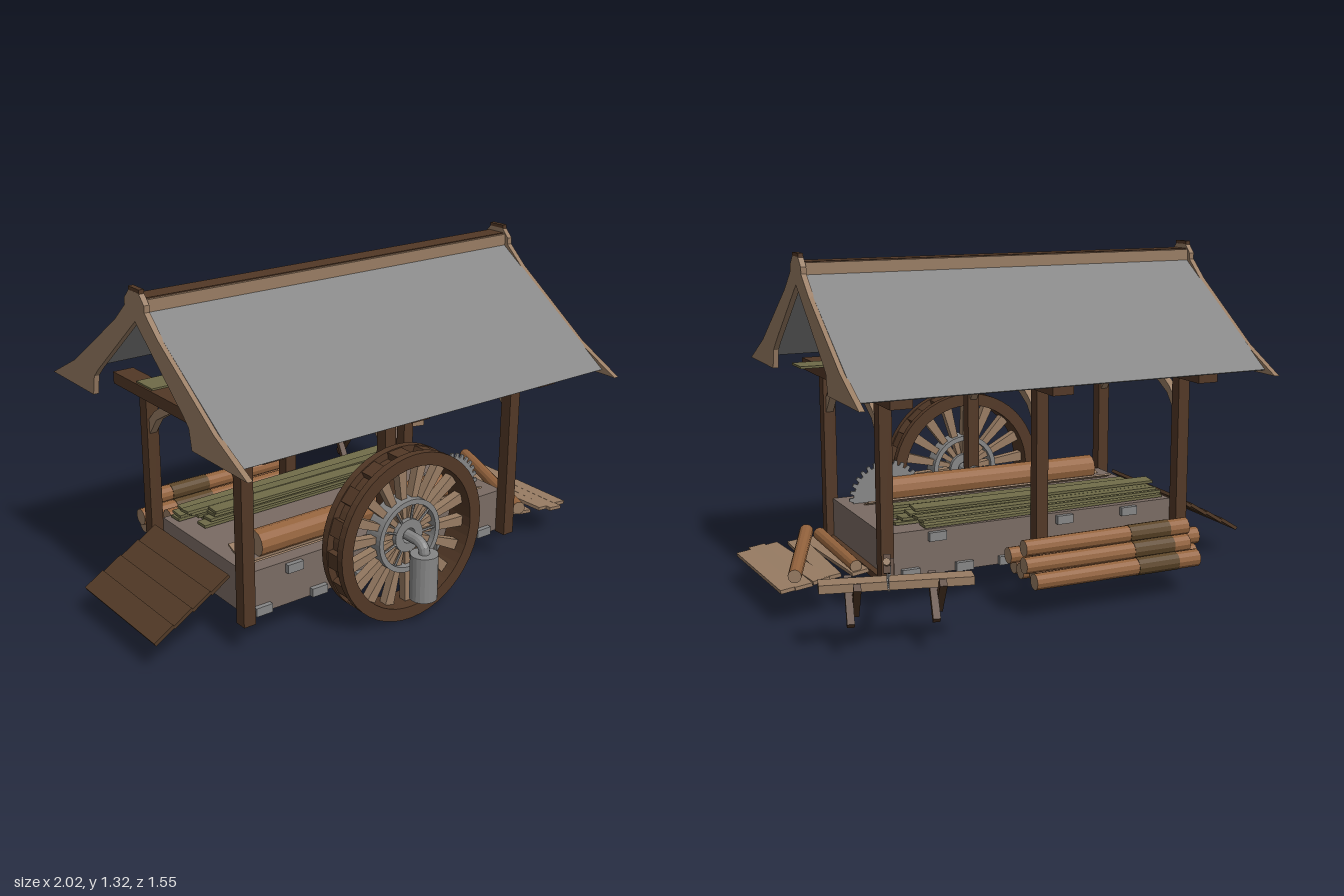
import * as THREE from 'three';

const DARK = 0x523826, TAN = 0x987c63, DECK = 0x7a6b63, LOG = 0x94633d, OLIVE = 0x6f6b48, RAMP = 0x523a27, BAND = 0x5c4528, STEEL = 0x868686;
const V = (x, y, z) => new THREE.Vector3(x, y, z);
const mats = {};
const mat = (c) => (mats[c] ??= new THREE.MeshStandardMaterial({ color: c, flatShading: true, side: THREE.DoubleSide }));

export function createModel() {
  const root = new THREE.Group();
  const add = (name, geo, color, parent = root) => {
    const m = new THREE.Mesh(geo, mat(color));
    m.name = name;
    parent.add(m);
    return m;
  };
  const group = (name, parent = root) => {
    const g = new THREE.Group();
    g.name = name;
    parent.add(g);
    return g;
  };
  // box given by its min and max corners
  const box = (name, color, x0, x1, y0, y1, z0, z1, parent) => {
    const m = add(name, new THREE.BoxGeometry(x1 - x0, y1 - y0, z1 - z0), color, parent);
    m.position.set((x0 + x1) / 2, (y0 + y1) / 2, (z0 + z1) / 2);
    return m;
  };
  // round bar between two points
  const rod = (name, color, a, b, r, parent, r2 = r, sides = 12) => {
    const m = add(name, new THREE.CylinderGeometry(r2, r, a.distanceTo(b), sides), color, parent);
    m.position.copy(a).lerp(b, 0.5);
    m.quaternion.setFromUnitVectors(V(0, 1, 0), b.clone().sub(a).normalize());
    return m;
  };
  // log with pale cut ends
  const log = (name, a, b, r, parent, r2) => {
    rod(name, LOG, a, b, r, parent, r2).material = [mat(LOG), mat(TAN), mat(TAN)];
  };
  // extrude a (z, y) outline along x, centred on x
  const slabX = (name, color, pts, x, depth, parent) => {
    const shape = new THREE.Shape(pts.map(([z, y]) => new THREE.Vector2(-z, y)));
    const geo = new THREE.ExtrudeGeometry(shape, { depth, bevelEnabled: false });
    geo.translate(0, 0, -depth / 2).rotateY(Math.PI / 2);
    add(name, geo, color, parent).position.x = x;
  };
  const ZC = 0.095; // centre line of the building
  const mirrorZ = (pts) => pts.map(([z, y]) => [2 * ZC - z, y]);

  // hollow platform
  const base = group('platform');
  box('deck', DECK, -0.64, 0.6, 0.28, 0.295, -0.2, 0.39, base);
  for (const z of [-0.2, 0.378]) box('sideWall', DECK, -0.64, 0.6, 0.12, 0.28, z, z + 0.012, base);
  for (const x of [-0.64, 0.588]) box('endWall', DECK, x, x + 0.012, 0.12, 0.28, -0.188, 0.378, base);
  for (const z of [-0.205, 0.395])
    for (const [x, y] of [[-0.44, 0.268], [-0.33, 0.137], [-0.58, 0.137], [-0.12, 0.137], [0.1, 0.137], [0.28, 0.137], [0.39, 0.268], [0.5, 0.137], [-0.15, 0.268]])
      box('wallBracket', STEEL, x - 0.035, x + 0.035, y - 0.017, y + 0.017, z - 0.014, z + 0.014, base);
  box('sill', DARK, 0.6, 0.625, 0.115, 0.14, -0.2, 0.39, base);

  // three timber frames
  for (const x of [-0.665, -0.03, 0.605]) {
    const f = group('frame');
    for (const z of [0.415, -0.225]) box('post', DARK, x - 0.025, x + 0.025, 0.115, 0.81, z - 0.025, z + 0.025, f);
    box('crossBeam', DARK, x - 0.043, x + 0.043, 0.803, 0.85, -0.415, 0.605, f);
    box('kingPost', DARK, x - 0.017, x + 0.017, 0.85, 1.18, ZC - 0.017, ZC + 0.017, f);
    const brace = [[0.39, 0.655], [0.39, 0.715], [0.35, 0.755], [0.275, 0.803], [0.19, 0.803], [0.27, 0.762], [0.335, 0.725]];
    slabX('brace', TAN, brace, x, 0.03, f);
    slabX('brace', TAN, mirrorZ(brace), x, 0.03, f);
  }
  for (const z of [0.383, -0.19]) box('wallPlate', OLIVE, -0.7, 0.74, 0.848, 0.857, z - 0.058, z + 0.058);

  // flat roof sheets, gables and ridge
  const roof = group('roof');
  const slope = [[0.705, 0.857], [0.12, 1.256], [0.12, 1.247], [0.698, 0.853]];
  slabX('roofSheet', STEEL, slope, -0.03, 1.66, roof);
  slabX('roofSheet', STEEL, mirrorZ(slope), -0.03, 1.66, roof);
  const half = [[0.77, 0.84], [0.58, 0.938], [0.246, 1.17], [0.163, 1.245], [0.163, 1.27], [0.13, 1.305]];
  const inner = [[0.44, 0.84], [0.425, 0.915], [0.39, 0.95], [ZC, 1.2]];
  const gable = [...half, ...mirrorZ(half).reverse(), ...mirrorZ(inner.slice(0, 3)), ...inner.slice().reverse()];
  for (const x of [-0.867, 0.807]) {
    slabX('gableBoard', TAN, gable, x, 0.021, roof);
    box('gableCap', DARK, x - 0.01, x + 0.01, 1.303, 1.318, ZC - 0.037, ZC + 0.037, roof);
  }
  box('ridgeBoard', TAN, -0.86, 0.8, 1.24, 1.284, ZC - 0.052, ZC + 0.052, roof);
  box('ridgeCap', DARK, -0.86, 0.8, 1.28, 1.288, ZC - 0.04, ZC + 0.04, roof);
  box('ridgeBeam', DARK, -0.8, 0.74, 1.168, 1.192, ZC - 0.024, ZC + 0.024, roof);

  // bucket wheel
  const wheel = group('wheel');
  wheel.position.set(-0.03, 0.334, 0.522);
  const ring = (name, color, rOut, rIn, z0, z1, seg = 24) => {
    const s = new THREE.Shape().absarc(0, 0, rOut, 0, Math.PI * 2);
    s.holes.push(new THREE.Path().absarc(0, 0, rIn, 0, Math.PI * 2, true));
    const g = new THREE.ExtrudeGeometry(s, { depth: z1 - z0, bevelEnabled: false, curveSegments: seg });
    add(name, g.translate(0, 0, z0), color, wheel);
  };
  ring('rim', DARK, 0.333, 0.283, 0.03, 0.06);
  ring('rim', DARK, 0.333, 0.283, -0.06, -0.03);
  ring('rimDrum', DARK, 0.305, 0.283, -0.03, 0.03);
  for (let i = 0; i < 16; i++) {
    const p = group('rimPartition', wheel);
    p.rotation.z = ((i + 0.5) * Math.PI) / 8 - 0.12;
    box('partition', DARK, 0.29, 0.328, -0.032, 0.032, -0.031, 0.031, p);
  }
  for (let i = 0; i < 18; i++) {
    const spoke = new THREE.Shape([[0.04, -0.008], [0.29, -0.021], [0.29, 0.021], [0.04, 0.008]].map((p) => new THREE.Vector2(...p)));
    const g = new THREE.ExtrudeGeometry(spoke, { depth: 0.035, bevelEnabled: false });
    add('spoke', g.translate(0, 0, -0.018), TAN, wheel).rotation.z = (i * Math.PI) / 9 + 0.26;
  }
  ring('hubRing', STEEL, 0.145, 0.125, -0.04, 0.04);
  ring('hubInnerRing', STEEL, 0.065, 0.03, -0.035, 0.035, 16);
  for (let i = 0; i < 9; i++) {
    const a = (i * Math.PI * 2) / 9, c = Math.cos(a), s = Math.sin(a);
    rod('hubSpoke', STEEL, V(0.06 * c, 0.06 * s, 0.03), V(0.13 * c, 0.13 * s, 0.03), 0.005, wheel, 0.005, 6);
  }

  // tank and bent pipe through the hub
  const tank = group('tank');
  rod('tankBody', STEEL, V(-0.03, 0.115, 0.644), V(-0.03, 0.295, 0.644), 0.053, tank, 0.053, 20);
  const pipe = new THREE.CatmullRomCurve3([V(-0.03, 0.29, 0.644), V(-0.03, 0.315, 0.64), V(-0.03, 0.332, 0.615), V(-0.03, 0.334, 0.58), V(-0.03, 0.334, 0.38)]);
  add('pipe', new THREE.TubeGeometry(pipe, 24, 0.021, 12), STEEL, tank);
  rod('pipeFlange', STEEL, V(-0.03, 0.334, 0.375), V(-0.03, 0.334, 0.39), 0.034, tank);

  // circular saw, log and cradle
  const blade = new THREE.Shape();
  for (let i = 0; i < 32; i++) {
    const a = (i * Math.PI) / 16;
    for (const [r, d] of [[0.143, 0], [0.16, 0.03], [0.16, 0.11], [0.143, 0.13]])
      blade[i || d ? 'lineTo' : 'moveTo'](r * Math.cos(a + d), r * Math.sin(a + d));
  }
  const bladeGeo = new THREE.ExtrudeGeometry(blade, { depth: 0.008, bevelEnabled: false });
  add('circularSaw', bladeGeo, STEEL).position.set(0.41, 0.3, 0.271);
  log('sawnLog', V(-0.53, 0.338, 0.275), V(0.43, 0.338, 0.275), 0.052);
  for (const s of [-1, 1]) {
    const b = box('cradleBoard', TAN, -0.59, 0.52, 0.302, 0.309, 0.275 + s * 0.06 - 0.03, 0.275 + s * 0.06 + 0.03);
    b.rotation.x = -s * 0.4;
  }

  // stack of sawn planks on the deck
  const stack = group('plankStack');
  for (let i = 0; i < 11; i++) {
    const layer = Math.floor(i / 3), col = i % 3;
    const p = box('plank', OLIVE, -0.55, 0.5, 0, 0.011, -0.028, 0.028, stack);
    p.position.set(-0.04 + 0.05 * Math.sin(i * 2.3), 0.304 + layer * 0.016, -0.04 - col * 0.06 + (layer === 3 ? 0.01 : 0));
    p.rotation.set(0.1 * Math.sin(i * 1.7), 0.018 * Math.sin(i * 4.1), 0);
  }

  // log pile with dark bands
  const pile = group('logPile');
  for (let row = 0; row < 3; row++)
    for (let i = row === 2 ? 1 : 0; i < 4 - row; i++) {
      const z = -0.325 - 0.07 * i - 0.037 * row, y = 0.149 + 0.055 * row, o = 0.045 * Math.sin(i * 3 + row * 2);
      log('log', V(-0.57 + o, y, z), V(0.13 + o, y, z), 0.034, pile, 0.031);
      rod('logBand', BAND, V(-0.455, y, z), V(-0.28, y, z), 0.0355, pile, 0.0345);
    }

  // trestle with crossed legs
  const trestle = group('trestle');
  trestle.position.set(0.7, 0, -0.588);
  trestle.rotation.y = -0.255;
  box('trestleBeam', TAN, -0.265, 0.265, 0.228, 0.258, -0.035, 0.035, trestle);
  for (const x of [-0.14, 0.15])
    for (const s of [-1, 1]) {
      const leg = box('trestleLeg', DARK, x - 0.013 + s * 0.012, x + 0.013 + s * 0.012, 0.095, 0.277, -0.014, 0.014, trestle);
      leg.rotation.x = s * 0.75;
    }

  // two-handled saw leaning on the trestle
  const saw = group('handSaw');
  const a = V(0.64, 0.21, -0.37), b = V(0.8, 0.38, -0.766), dir = b.clone().sub(a).normalize();
  const side = dir.clone().cross(V(0, 1, 0)).normalize();
  saw.quaternion.setFromRotationMatrix(new THREE.Matrix4().makeBasis(dir, side.clone().cross(dir), side));
  saw.position.copy(a);
  const hs = new THREE.Shape();
  hs.moveTo(0.03, 0.02).quadraticCurveTo(0.22, -0.015, 0.41, 0.02).lineTo(0.41, -0.03);
  for (let i = 0; i < 14; i++) {
    const x = 0.41 - i * 0.027, sag = -0.03 - 0.03 * Math.sin((i / 14) * Math.PI);
    hs.lineTo(x - 0.006, sag - 0.022).lineTo(x - 0.027, sag);
  }
  add('sawBlade', new THREE.ExtrudeGeometry(hs, { depth: 0.006, bevelEnabled: false }).translate(0, 0, -0.003), STEEL, saw);
  box('sawGrip', DARK, 0.0, 0.035, -0.045, 0.045, -0.013, 0.013, saw);
  box('sawGrip', DARK, 0.395, 0.425, -0.035, 0.028, -0.011, 0.011, saw);
  rod('sawHandle', TAN, V(0.4, 0, 0), V(0.465, 0, 0), 0.013, saw, 0.013, 8);

  // sloping ramp of four overlapping boards
  const ramp = group('ramp');
  ramp.position.set(-0.845, 0.2, 0.09);
  ramp.rotation.z = 0.49;
  for (let i = 0; i < 4; i++) {
    const x = -0.132 + i * 0.088;
    box('rampBoard', RAMP, x - 0.046, x + 0.046, -0.007, 0.007, -0.26, 0.26, ramp).rotation.z = 0.07;
  }

  // loose boards and logs beside the platform
  const heap = group('looseTimber');
  [[0.7, 0.09, 0.27, 0.05], [0.78, 0.1, 0.27, -0.04], [0.855, 0.1, 0.28, 0.07], [0.915, 0.1, 0.3, 0.02], [0.97, 0.085, 0.28, 0.03]].forEach(([x, z, l, r], i) => {
    const p = box('looseBoard', TAN, -0.033, 0.033, 0, 0.014, -l, l, heap);
    p.position.set(x, 0.152 - i * 0.006, z);
    p.rotation.set(0.02, r, -0.12);
  });
  log('looseLog', V(0.72, 0.175, 0.38), V(0.94, 0.18, -0.19), 0.028, heap, 0.025);
  log('looseLog', V(0.69, 0.18, 0.3), V(0.7, 0.18, -0.17), 0.026, heap, 0.023);
  return root;
}
